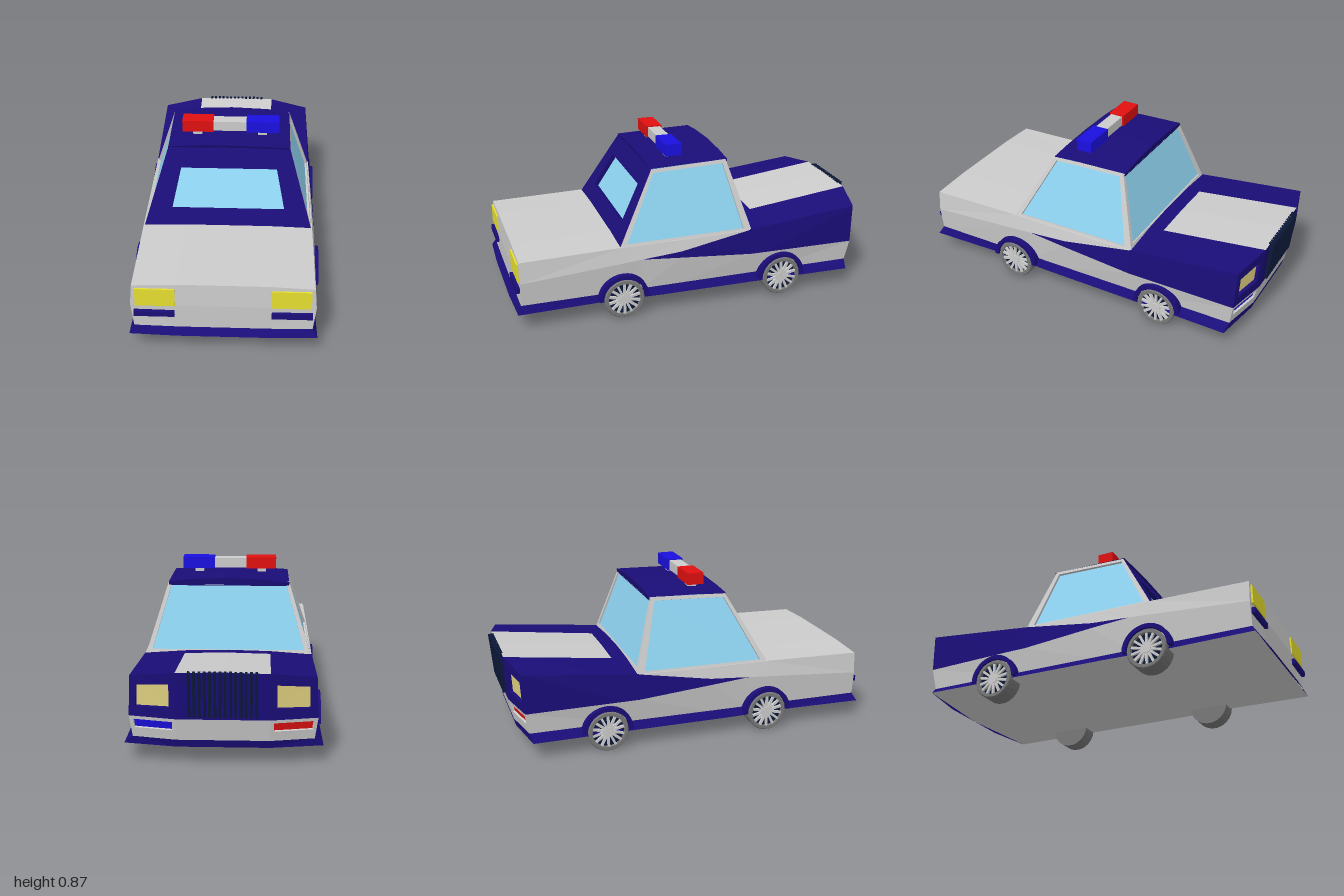
import * as THREE from 'three';

const mat = (color) => new THREE.MeshStandardMaterial({ color, flatShading: true, side: THREE.DoubleSide });
const grey = mat(0xcccccc), navy = mat(0x1a0d78), glass = mat(0x8fd4f2), red = mat(0xe01010), blue = mat(0x1a10e0);
const yellow = mat(0xe6df30), cream = mat(0xe0d080), dark = mat(0x0c1838), tyreMat = mat(0x777777);

// Faceted surface through rows of [x, y, z] points
function grid(name, rows, material) {
  const pos = [];
  for (let i = 0; i + 1 < rows.length; i++) {
    for (let j = 0; j + 1 < rows[i].length; j++) {
      const a = rows[i][j], b = rows[i][j + 1], c = rows[i + 1][j + 1], d = rows[i + 1][j];
      pos.push(...a, ...b, ...c, ...a, ...c, ...d);
    }
  }
  const geo = new THREE.BufferGeometry();
  geo.setAttribute('position', new THREE.Float32BufferAttribute(pos, 3));
  geo.computeVertexNormals();
  const mesh = new THREE.Mesh(geo, material);
  mesh.name = name;
  return mesh;
}

function box(name, size, at, material) {
  const mesh = new THREE.Mesh(new THREE.BoxGeometry(...size), material);
  mesh.position.set(...at);
  mesh.name = name;
  return mesh;
}

// Four-cornered frame (bottom a-b, top d-c) around a recessed pane; [u0, u1, v0, v1] places the opening
function framed(name, [a, b, c, d], [u0, u1, v0, v1], depth, frameMat, paneMat) {
  const [A, B, C, D] = [a, b, c, d].map((p) => new THREE.Vector3(...p));
  const at = (u, v) => A.clone().lerp(B, u).lerp(D.clone().lerp(C, u), v);
  const outer = [A, B, C, D];
  const inner = [at(u0, v0), at(u1, v0), at(u1, v1), at(u0, v1)];
  const n = B.clone().sub(A).cross(D.clone().sub(A)).normalize();
  if (n.dot(at(0.5, 0.5).sub(new THREE.Vector3(0, 0.3, 0))) < 0) n.negate();
  const sunk = inner.map((p) => p.clone().addScaledVector(n, -depth));
  const loop = (ps) => [...ps, ps[0]].map((p) => p.toArray());
  const group = new THREE.Group();
  group.name = name;
  group.add(grid(name + 'Frame', [loop(outer), loop(inner), loop(sunk)], frameMat));
  const s = sunk.map((p) => p.toArray());
  group.add(grid(name + 'Pane', [[s[0], s[1]], [s[3], s[2]]], paneMat));
  return group;
}

// z, crease x, wedge low y, wedge high y, shoulder y, stripe-edge y, centre y
const stations = [
  [0.97, 0.465, 0.27, 0.27, 0.385, 0.395, 0.395],
  [0.43, 0.47, 0.31, 0.31, 0.395, 0.4, 0.4],
  [0.32, 0.47, 0.318, 0.318, 0.395, 0.4, 0.4],
  [0.1, 0.475, 0.3, 0.333, 0.395, 0.4, 0.4],
  [-0.3, 0.475, 0.265, 0.4, 0.4, 0.415, 0.42],
  [-0.39, 0.475, 0.264, 0.41, 0.41, 0.425, 0.43],
  [-0.92, 0.465, 0.255, 0.465, 0.465, 0.495, 0.5],
];

function bodySide(s) {
  const g = new THREE.Group();
  g.name = s > 0 ? 'leftBodySide' : 'rightBodySide';
  const rows = stations.map(([z, cx, lo, hi, ey, my, cy], i) => {
    const f = i === stations.length - 1 ? 1 : 0; // bowed nose
    const hx = cx + (0.455 - cx) * (hi - lo) / (ey - lo);
    return [[s * 0.45, 0.14, z + f * 0.03], [s * cx, lo, z + f * 0.01], [s * hx, hi, z],
      [s * 0.455, ey, z], [s * 0.23, my, z - f * 0.055], [0, cy, z - f * 0.055]];
  });
  const part = (name, i0, i1, j0, j1, m) => g.add(grid(name, rows.slice(i0, i1 + 1).map((r) => r.slice(j0, j1 + 1)), m));
  part('lowerSide', 0, 6, 0, 1, grey);
  part('sideWedge', 2, 6, 1, 2, navy);
  part('upperSide', 0, 4, 2, 3, grey);
  part('trunkLid', 0, 4, 3, 5, grey);
  part('cowl', 4, 5, 3, 5, navy);
  part('hoodSide', 5, 6, 3, 4, navy);
  part('hoodStripe', 5, 6, 4, 5, grey);
  // Flared sill
  const sill = [[0.99, 0.475], [0.55, 0.465], [0.2, 0.48], [-0.3, 0.485], [-0.88, 0.495]];
  g.add(grid('sill', sill.map(([z, x], i) => [[s * 0.45, 0.14, i ? (i === 4 ? -0.89 : z) : 0.97], [s * x, 0.1, z]]), navy));
  g.add(grid('underside', sill.map(([z, x]) => [[s * x, 0.1, z], [0, 0.1, z - (z < -0.8 ? 0.045 : 0)]]), grey));

  // Nose corner: headlight and marker lamp
  const top = [s * 0.455, 0.465, -0.92], mid = [s * 0.465, 0.255, -0.91], low = [s * 0.45, 0.14, -0.89];
  const topIn = [s * 0.23, 0.495, -0.975], midIn = [s * 0.23, 0.255, -0.96], lowIn = [s * 0.23, 0.14, -0.935];
  g.add(framed('headlight', [midIn, mid, top, topIn], [0.14, 0.86, 0.24, 0.76], 0.02, navy, cream));
  g.add(framed('markerLamp', [lowIn, low, mid, midIn], [0.08, 0.92, 0.45, 0.85], 0.012, grey, s > 0 ? blue : red));
  g.add(grid('noseCentre', [[topIn, [0, 0.5, -0.975]], [midIn, [0, 0.255, -0.96]]], navy));
  g.add(grid('noseBelt', [[midIn, [0, 0.255, -0.96]], [lowIn, [0, 0.14, -0.935]]], grey));
  g.add(grid('noseLip', [[low, lowIn, [0, 0.14, -0.935]], [[s * 0.495, 0.1, -0.88], [s * 0.23, 0.1, -0.925], [0, 0.1, -0.925]]], navy));

  // Tail end with lamps
  g.add(grid('tailPanel', [[[s * 0.455, 0.385, 0.97], [s * 0.23, 0.395, 0.97], [0, 0.395, 0.97]],
    [[s * 0.465, 0.27, 0.97], [s * 0.23, 0.27, 0.975], [0, 0.27, 0.975]],
    [[s * 0.45, 0.14, 0.97], [s * 0.23, 0.135, 0.97], [0, 0.135, 0.97]]], grey));
  g.add(grid('tailLip', [[[s * 0.45, 0.14, 0.97], [s * 0.23, 0.135, 0.97], [0, 0.135, 0.97]],
    [[s * 0.475, 0.1, 0.99], [s * 0.23, 0.1, 1], [0, 0.1, 1]]], navy));
  g.add(box('tailLight', [0.2, 0.1, 0.02], [s * 0.34, 0.32, 0.97], yellow));
  g.add(box('tailBar', [0.205, 0.03, 0.03], [s * 0.345, 0.226, 0.975], navy));

  // Side window
  g.add(framed('sideWindow', [[s * 0.45, 0.39, 0.435], [s * 0.45, 0.395, -0.31], [s * 0.33, 0.78, -0.195], [s * 0.33, 0.765, 0.225]],
    [0.045, 0.945, 0.04, 0.95], 0.012, grey, glass));
  return g;
}

function cabin() {
  const g = new THREE.Group();
  g.name = 'cabin';
  g.add(framed('rearWindow', [[-0.45, 0.39, 0.435], [0.45, 0.39, 0.435], [0.33, 0.765, 0.225], [-0.33, 0.765, 0.225]],
    [0.14, 0.86, 0.24, 0.74], 0.025, navy, glass));
  g.add(framed('windscreen', [[-0.45, 0.395, -0.31], [0.45, 0.395, -0.31], [0.33, 0.78, -0.195], [-0.33, 0.78, -0.195]],
    [0.03, 0.97, 0.07, 0.95], 0.01, grey, glass));
  // Crowned roof with a turned-down rim
  const xs = [-0.33, -0.2, 0, 0.2, 0.33], crown = [0, 0.014, 0.022, 0.014, 0];
  const row = (z, y, k) => xs.map((x, i) => [x, y + crown[i] * k, z]);
  g.add(grid('roof', [row(0.22, 0.75, 0), row(0.23, 0.768, 0.6), row(0.02, 0.774, 1), row(-0.205, 0.779, 1), row(-0.2, 0.757, 0)], navy));
  return g;
}

function lightBar() {
  const g = new THREE.Group();
  g.name = 'lightBar';
  g.add(box('redBeacon', [0.17, 0.064, 0.09], [-0.175, 0.84, 0.08], red));
  g.add(box('blueBeacon', [0.18, 0.064, 0.09], [0.18, 0.84, 0.08], blue));
  g.add(box('barCentre', [0.18, 0.054, 0.07], [0, 0.838, 0.08], grey));
  for (const s of [-1, 1]) g.add(box('barFoot', [0.05, 0.04, 0.05], [s * 0.178, 0.795, 0.08], grey));
  return g;
}

function wheel(s, z) {
  const g = new THREE.Group();
  g.name = 'wheel';
  const profile = [[0, -0.052], [0.11, -0.052], [0.11, 0.045], [0.105, 0.052], [0.088, 0.052], [0.086, 0.03], [0, 0.03]];
  const tyre = new THREE.Mesh(new THREE.LatheGeometry(profile.map((p) => new THREE.Vector2(...p)), 22).rotateZ(-Math.PI / 2), tyreMat);
  tyre.name = 'tyre';
  const disc = new THREE.Mesh(new THREE.CylinderGeometry(0.086, 0.086, 0.006, 22).rotateZ(Math.PI / 2), dark);
  disc.position.x = 0.032;
  disc.name = 'wheelDisc';
  const hub = new THREE.Mesh(new THREE.CylinderGeometry(0.026, 0.026, 0.02, 14).rotateZ(Math.PI / 2), grey);
  hub.position.x = 0.042;
  hub.name = 'hub';
  g.add(tyre, disc, hub);
  for (let i = 0; i < 14; i++) {
    const spoke = new THREE.Mesh(new THREE.BoxGeometry(0.014, 0.068, 0.013).translate(0, 0.053, 0), grey);
    spoke.position.x = 0.041;
    spoke.rotation.x = i * Math.PI / 7;
    spoke.name = 'spoke';
    g.add(spoke);
  }
  g.position.set(s * 0.443, 0.113, z);
  if (s < 0) g.rotation.y = Math.PI;
  return g;
}

function wheelArch(s, z) {
  const shape = new THREE.Shape();
  shape.absarc(0, 0, 0.137, 0, Math.PI, false);
  shape.absarc(0, 0, 0.114, Math.PI, 0, true);
  const geo = new THREE.ExtrudeGeometry(shape, { depth: 0.055, bevelEnabled: false, curveSegments: 8 });
  const arch = new THREE.Mesh(geo.translate(0, 0, -0.0275).rotateY(Math.PI / 2), navy);
  arch.position.set(s * 0.468, 0.113, z);
  arch.name = 'wheelArch';
  return arch;
}

export function createModel() {
  const car = new THREE.Group();
  car.name = 'patrolCar';
  for (const s of [1, -1]) {
    car.add(bodySide(s));
    for (const z of [0.425, -0.48]) car.add(wheel(s, z), wheelArch(s, z));
  }
  car.add(cabin(), lightBar());
  // Grille slats
  const grille = new THREE.Group();
  grille.name = 'grille';
  for (let i = 0; i < 14; i++) {
    const slat = box('slat', [0.013, 0.23, 0.03], [-0.163 + i * 0.0251, 0.387, -0.973], dark);
    slat.rotation.x = -0.1;
    grille.add(slat);
  }
  car.add(grille);
  return car;
}
